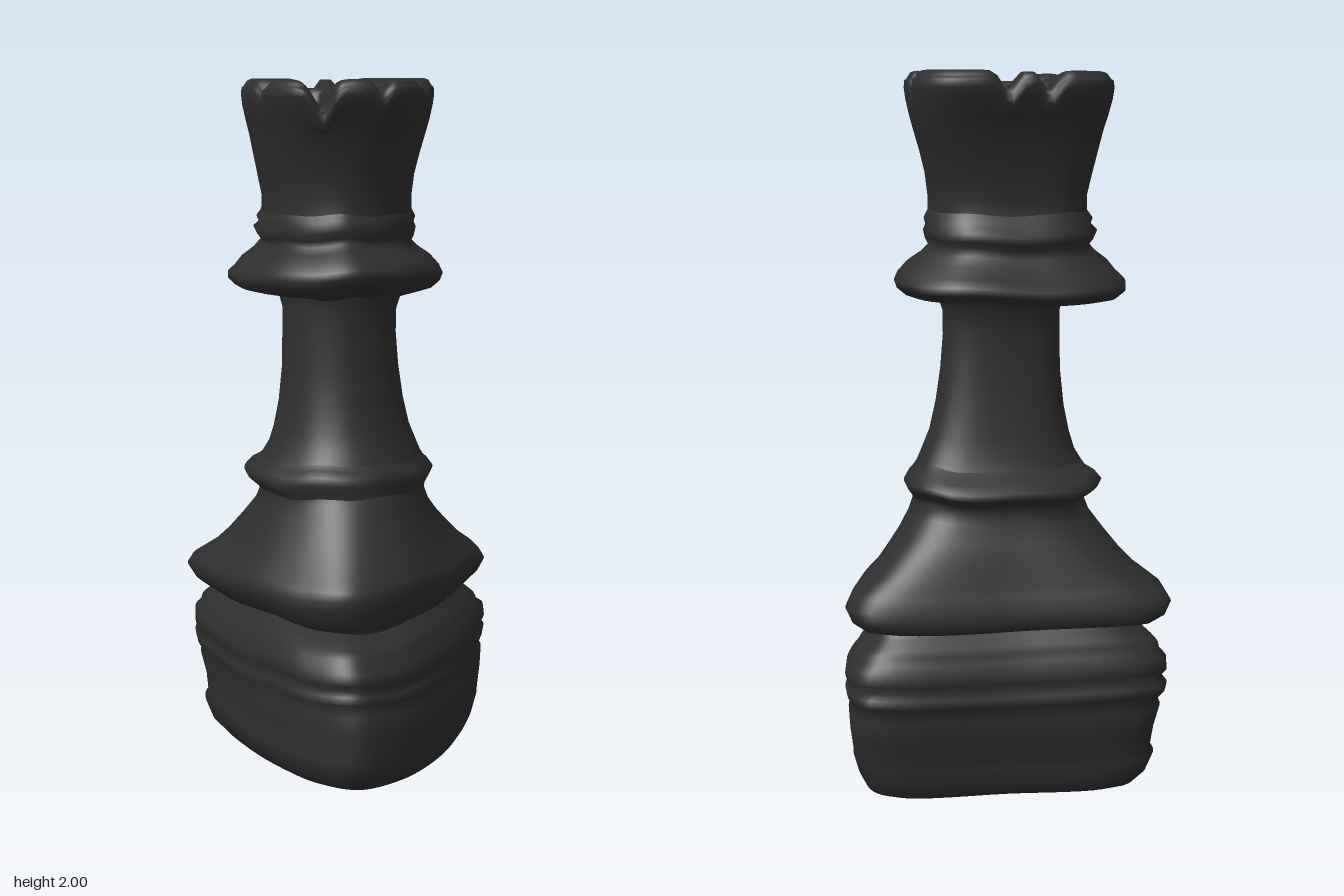
import * as THREE from 'three';

const SEG = 120;
const { smoothstep, lerp } = THREE.MathUtils;

// Rounded triangular plan of the base, point to the front, in unit coordinates
const trianglePlan = new THREE.CatmullRomCurve3([
  [-0.1, 1], [0.23, 0.84], [0.56, 0.45], [0.84, -0.1], [1, -0.66], [0.89, -0.88],
  [0, -0.97], [-0.92, -0.98], [-1, -0.66], [-0.86, -0.1], [-0.62, 0.45], [-0.38, 0.82],
].map(([x, z]) => new THREE.Vector3(x, 0, z)), true);

// Grooves between the crown's lobes: x1, z1, x2, z2, depth, width
const grooves = [
  [-0.29, -0.185, 0.27, -0.185, 0.03, 0.015],
  [-0.1, -0.1, -0.09, 0.18, 0.075, 0.032],
  [-0.075, -0.47, -0.07, -0.26, 0.05, 0.026],
  [0.035, -0.47, 0.04, -0.26, 0.05, 0.026],
  [-0.13, -0.24, 0.12, -0.24, 0.05, 0.035],
  [0.12, -0.25, 0.28, -0.255, 0.035, 0.018],
  [-0.29, -0.255, -0.14, -0.25, 0.035, 0.018],
  [0.08, 0, 0.24, 0.03, 0.025, 0.025],
  [-0.29, -0.03, -0.12, 0, 0.03, 0.025],
  [0.08, 0.17, 0.07, 0.05, 0.03, 0.025],
];

function grooveDepth(x, z) {
  let deepest = 0;
  for (const [x1, z1, x2, z2, depth, width] of grooves) {
    const dx = x2 - x1, dz = z2 - z1;
    const t = THREE.MathUtils.clamp(((x - x1) * dx + (z - z1) * dz) / (dx * dx + dz * dz), 0, 1);
    const d = Math.hypot(x - x1 - dx * t, z - z1 - dz * t);
    deepest = Math.max(deepest, depth * Math.exp(-((d / width) ** 2)));
  }
  return deepest;
}

// Unit plan at a given height: triangle below, egg-shaped column, squarer crown
function planPoint(i, y) {
  const a = (i / SEG) * Math.PI * 2;
  const power = 2 / lerp(1.92, 2.8, smoothstep(y, 1.6, 1.9));
  const s = Math.sin(a), c = Math.cos(a);
  const x = Math.sign(s) * Math.abs(s) ** power;
  const z = Math.sign(c) * Math.abs(c) ** power;
  const p = trianglePlan.getPoint(i / SEG);
  const t = lerp(1, 0.36, smoothstep(y, 0.52, 0.86));
  return [lerp(x, p.x, t) / (1 - 0.2 * t * (1 - t)), lerp(z, p.z, t)];
}

// Forward rise of the layers, which changes slightly up the piece
function slope(y) {
  return 0.07 - 0.028 * smoothstep(y, 0.15, 0.45) + 0.028 * smoothstep(y, 1, 1.35)
    - 0.04 * smoothstep(y, 1.45, 1.62);
}

// Skin over sections of [height, x min, x max, z min, z max]
function loft(sections) {
  const pos = [], index = [];
  sections.forEach(([y, x0, x1, z0, z1], r) => {
    const top = smoothstep(y, 1.84, 1.94);
    const waviness = smoothstep(y, 0.03, 0.08) * (1 - top);
    for (let i = 0; i < SEG; i++) {
      const a = (i / SEG) * Math.PI * 2;
      const [u, v] = planPoint(i, y);
      let x = (x0 + x1) / 2 + (u * (x1 - x0)) / 2;
      let z = (z0 + z1) / 2 + (v * (z1 - z0)) / 2;
      const dip = grooveDepth(x, z) * top;
      x -= u * dip * 0.25;
      z -= v * dip * 0.25;
      const wobble = waviness * (0.004 * Math.sin(3 * a + y * 9) + 0.003 * Math.sin(7 * a + y * 5));
      pos.push(x, y + slope(y) * z + wobble - dip, z);
      if (r < sections.length - 1) {
        const j = (i + 1) % SEG, p = r * SEG, q = p + SEG;
        index.push(p + i, p + j, q + j, p + i, q + j, q + i);
      }
    }
  });
  const geo = new THREE.BufferGeometry();
  geo.setAttribute('position', new THREE.Float32BufferAttribute(pos, 3));
  geo.setIndex(index);
  geo.computeVertexNormals();
  return geo;
}

const base = [
  [0.024, 0.015, 0.015, 0.03, 0.03], [0.024, -0.32, 0.36, -0.33, 0.36],
  [0.035, -0.36, 0.395, -0.345, 0.41], [0.07, -0.395, 0.415, -0.36, 0.45],
  [0.12, -0.415, 0.43, -0.37, 0.465], [0.135, -0.405, 0.43, -0.365, 0.455],
  [0.2, -0.41, 0.44, -0.385, 0.465], [0.26, -0.425, 0.445, -0.395, 0.46],
  [0.275, -0.42, 0.435, -0.385, 0.445], [0.3, -0.435, 0.45, -0.405, 0.455],
  [0.325, -0.44, 0.455, -0.41, 0.455], [0.338, -0.425, 0.44, -0.39, 0.435],
  [0.36, -0.44, 0.455, -0.405, 0.455], [0.395, -0.44, 0.45, -0.4, 0.45],
  [0.41, -0.425, 0.43, -0.385, 0.425], [0.432, -0.42, 0.42, -0.38, 0.425],
  [0.45, -0.4, 0.4, -0.37, 0.4],
  [0.468, -0.37, 0.38, -0.35, 0.36], [0.48, -0.36, 0.375, -0.34, 0.33],
];
const bell = [
  [0.48, -0.36, 0.375, -0.34, 0.33], [0.49, -0.4, 0.4, -0.365, 0.335],
  [0.515, -0.44, 0.435, -0.375, 0.35], [0.55, -0.46, 0.45, -0.37, 0.36],
  [0.58, -0.445, 0.43, -0.355, 0.365], [0.605, -0.41, 0.405, -0.345, 0.355],
  [0.63, -0.375, 0.37, -0.335, 0.33], [0.67, -0.335, 0.33, -0.32, 0.295],
  [0.72, -0.295, 0.285, -0.3, 0.25], [0.77, -0.26, 0.25, -0.275, 0.215],
  [0.81, -0.245, 0.235, -0.27, 0.185], [0.825, -0.255, 0.24, -0.29, 0.175],
];
const waistRing = [
  [0.825, -0.255, 0.24, -0.29, 0.175], [0.845, -0.28, 0.255, -0.32, 0.175],
  [0.865, -0.29, 0.265, -0.325, 0.18], [0.885, -0.275, 0.25, -0.3, 0.175],
  [0.9, -0.25, 0.235, -0.275, 0.15], [0.915, -0.24, 0.225, -0.255, 0.135],
];
const column = [
  [0.915, -0.24, 0.225, -0.255, 0.135], [0.95, -0.22, 0.21, -0.24, 0.115],
  [1, -0.205, 0.19, -0.23, 0.095], [1.08, -0.19, 0.172, -0.215, 0.075],
  [1.18, -0.18, 0.158, -0.205, 0.06], [1.28, -0.178, 0.15, -0.2, 0.055],
  [1.35, -0.177, 0.152, -0.205, 0.052], [1.385, -0.185, 0.165, -0.23, 0.06],
];
const collar = [
  [1.385, -0.185, 0.165, -0.23, 0.06], [1.395, -0.26, 0.23, -0.37, 0.1],
  [1.405, -0.305, 0.27, -0.43, 0.14], [1.425, -0.325, 0.295, -0.46, 0.165],
  [1.445, -0.325, 0.302, -0.462, 0.178], [1.465, -0.305, 0.29, -0.435, 0.175],
  [1.49, -0.285, 0.265, -0.405, 0.15], [1.515, -0.25, 0.225, -0.38, 0.12],
  [1.535, -0.23, 0.205, -0.375, 0.09], [1.55, -0.24, 0.215, -0.39, 0.09],
  [1.57, -0.25, 0.22, -0.395, 0.1], [1.585, -0.235, 0.212, -0.375, 0.095],
  [1.6, -0.242, 0.216, -0.37, 0.095], [1.62, -0.228, 0.205, -0.355, 0.08],
];
const crown = [
  [1.62, -0.228, 0.205, -0.355, 0.08], [1.66, -0.226, 0.205, -0.35, 0.075],
  [1.72, -0.236, 0.213, -0.36, 0.08], [1.78, -0.246, 0.228, -0.375, 0.095],
  [1.84, -0.256, 0.245, -0.395, 0.115], [1.88, -0.265, 0.255, -0.415, 0.135],
  [1.92, -0.273, 0.263, -0.435, 0.155], [1.95, -0.276, 0.267, -0.448, 0.17],
  [1.97, -0.274, 0.265, -0.448, 0.17],
];

// Lumpy crown top, closing inward in rings
const [, cx0, cx1, cz0, cz1] = crown[crown.length - 1];
const mx = (cx0 + cx1) / 2, mz = (cz0 + cz1) / 2;
for (let k = 1; k <= 28; k++) {
  const s = k < 4 ? 1 - 0.02 * k : 0.94 * (1 - (k - 3) / 25);
  const y = 1.97 + 0.024 * smoothstep(k, 0, 4) - 0.024 * smoothstep(k, 6, 16);
  crown.push([y, lerp(mx, cx0, s), lerp(mx, cx1, s), lerp(mz, cz0, s), lerp(mz, cz1, s)]);
}

export function createModel() {
  const model = new THREE.Group();
  model.name = 'chessPiece';
  const material = new THREE.MeshStandardMaterial({ color: 0x2e2e2e });
  material.name = 'charcoal';
  const parts = { base, bell, waistRing, column, collar, crown };
  for (const [name, sections] of Object.entries(parts)) {
    const mesh = new THREE.Mesh(loft(sections), material);
    mesh.name = name;
    model.add(mesh);
  }
  return model;
}
